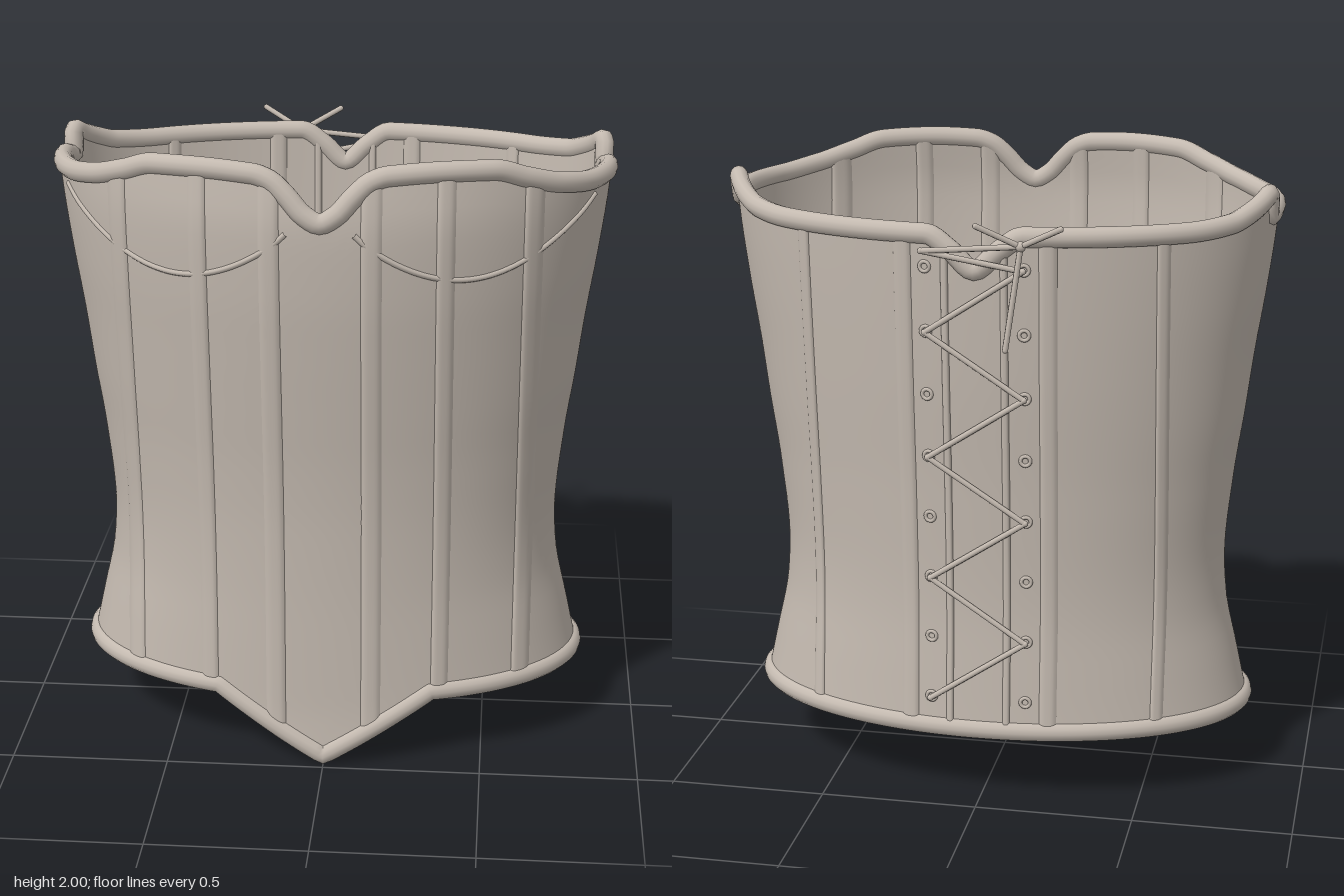
import * as THREE from 'three';

const rad = THREE.MathUtils.degToRad;

// Monotone cubic through [x, y] points
function smoothTable(p) {
  const d = p.slice(1).map((q, i) => (q[1] - p[i][1]) / (q[0] - p[i][0]));
  const m = p.map((_, i) => {
    if (i === 0 || i === p.length - 1) return 0;
    return d[i - 1] * d[i] <= 0 ? 0 : 2 * d[i - 1] * d[i] / (d[i - 1] + d[i]);
  });
  return x => {
    let i = 0;
    while (i < p.length - 2 && x > p[i + 1][0]) i++;
    const h = p[i + 1][0] - p[i][0];
    const s = THREE.MathUtils.clamp((x - p[i][0]) / h, 0, 1);
    const s2 = s * s, s3 = s2 * s;
    return p[i][1] * (2 * s3 - 3 * s2 + 1) + p[i + 1][1] * (3 * s2 - 2 * s3)
      + h * (m[i] * (s3 - 2 * s2 + s) + m[i + 1] * (s3 - s2));
  };
}

// Body profile by height: half width, front depth, back depth
const halfWidth = smoothTable([[0, 0.86], [0.2, 0.815], [0.4, 0.77], [0.6, 0.728], [0.73, 0.72], [1, 0.742],
  [1.2, 0.77], [1.4, 0.795], [1.6, 0.825], [1.8, 0.85], [2, 0.865]]);
const frontDepth = smoothTable([[0, 0.482], [0.2, 0.473], [0.5, 0.474], [0.8, 0.482], [1, 0.496],
  [1.2, 0.518], [1.4, 0.541], [1.6, 0.561], [1.8, 0.57], [2, 0.55]]);
const backDepth = smoothTable([[0, 0.48], [0.2, 0.46], [0.4, 0.448], [0.65, 0.438], [1, 0.45],
  [1.4, 0.476], [1.8, 0.494], [2, 0.5]]);

// Upper edge by angle from the front, in degrees
const topTable = smoothTable([[0, 1.82], [3.3, 1.845], [6.7, 1.9], [10, 1.942], [13.4, 1.958], [24, 1.965],
  [35.5, 1.96], [44, 1.928], [54.5, 1.895], [68, 1.875], [90, 1.868], [97, 1.852], [99, 1.85],
  [101.5, 1.922], [107, 1.9], [113.6, 1.875], [120, 1.855], [134, 1.842], [160, 1.84], [170, 1.84],
  [175, 1.795], [180, 1.735]]);
const topEdge = t => topTable(Math.abs(THREE.MathUtils.radToDeg(Math.atan2(Math.sin(t), Math.cos(t)))));
const bottomEdge = t => Math.cos(t) > 0 ? Math.min(0.25, 0.034 + Math.abs(Math.sin(t)) * 0.51) : 0.25;

// Point on the body at angle t and height y, pushed out by off
function surface(t, y, off = 0) {
  const c = Math.cos(t);
  const depth = c > 0 ? frontDepth(y) : backDepth(y);
  return new THREE.Vector3(Math.sin(t) * (halfWidth(y) + off), y, c * (depth + off));
}

// Point at a given x on the front (side = 1) or back (side = -1)
function atX(x, y, side, off = 0) {
  const t = Math.asin(THREE.MathUtils.clamp(x / (halfWidth(y) + off), -1, 1));
  return surface(side > 0 ? t : Math.PI - t, y, off);
}

// Grid of points fn(i, j); either direction may be closed
function grid(nu, nv, fn, closeU = false, closeV = false) {
  const pos = [], idx = [];
  for (let i = 0; i < nu; i++) for (let j = 0; j < nv; j++) pos.push(...fn(i, j).toArray());
  for (let i = 0; i < (closeU ? nu : nu - 1); i++) {
    for (let j = 0; j < (closeV ? nv : nv - 1); j++) {
      const i2 = (i + 1) % nu, j2 = (j + 1) % nv;
      const a = i * nv + j, b = i2 * nv + j, c = i2 * nv + j2, d = i * nv + j2;
      idx.push(a, b, c, a, c, d);
    }
  }
  const g = new THREE.BufferGeometry();
  g.setAttribute('position', new THREE.Float32BufferAttribute(pos, 3));
  g.setIndex(idx);
  g.computeVertexNormals();
  return g;
}

export function createModel() {
  const model = new THREE.Group();
  const fabric = new THREE.MeshStandardMaterial({ color: 0xc4bab0, side: THREE.DoubleSide });
  fabric.name = 'taupe fabric';
  const add = (name, geometry) => {
    const mesh = new THREE.Mesh(geometry, fabric);
    mesh.name = name;
    model.add(mesh);
    return mesh;
  };
  const N = 360, ROWS = 36, THICK = 0.03;

  // Outer shell and lining
  const wall = off => grid(N, ROWS, (i, j) => {
    const t = i / N * Math.PI * 2;
    return surface(t, THREE.MathUtils.lerp(bottomEdge(t), topEdge(t), j / (ROWS - 1)), off);
  }, true);
  add('outerShell', wall(0));
  add('lining', wall(-THICK));

  // Rounded bindings swept along both edges
  const binding = edge => {
    const at = i => { const t = i / N * Math.PI * 2; return surface(t, edge(t), -0.011); };
    return grid(N, 12, (i, j) => {
      const p = at(i), t = i / N * Math.PI * 2, k = j / 12 * Math.PI * 2;
      const along = at(i + 1).sub(at(i - 1)).normalize();
      const depth = Math.cos(t) > 0 ? frontDepth(p.y) : backDepth(p.y);
      const out = new THREE.Vector3(Math.sin(t) * depth, 0, Math.cos(t) * halfWidth(p.y)).normalize();
      const up = new THREE.Vector3().crossVectors(out, along).normalize();
      return p.addScaledVector(out, Math.cos(k) * 0.029).addScaledVector(up, Math.sin(k) * 0.032);
    }, true, true);
  };
  add('topBinding', binding(topEdge));
  add('bottomBinding', binding(bottomEdge));

  // Boning channels: [x, half width, front or back]
  const channels = [[0.15, 0.032, 1], [0.365, 0.028, 1], [0.62, 0.03, 1],
    [0.09, 0.012, -1], [0.22, 0.028, -1], [0.55, 0.02, -1]];
  for (const [x0, w, side] of channels) for (const m of [1, -1]) for (const inside of [false, true]) {
    const geo = grid(ROWS, 9, (i, j) => {
      const s = j / 4 - 1, x = m * x0 + s * w;
      const edgeAngle = a => (side > 0 ? Math.asin(x / a) : Math.PI - Math.asin(x / a));
      const y = THREE.MathUtils.lerp(bottomEdge(edgeAngle(0.815)), topEdge(edgeAngle(0.86)), i / (ROWS - 1));
      const lift = 0.009 * (1 - s ** 4) - 0.001;
      return atX(x, y, side, inside ? -THICK - lift : lift);
    });
    add(inside ? 'innerChannel' : 'boningChannel', geo);
  }

  // Curved seams under the cups
  for (const m of [1, -1]) {
    const pts = [];
    for (let i = 0; i <= 20; i++) {
      const s = i / 20;
      const y = 1.83 - 0.04 * s - 0.17 * Math.sin(Math.PI * s) ** 0.85;
      pts.push(atX(m * (0.8 - 0.7 * s), y, 1, -0.001));
    }
    add('cupSeam', new THREE.TubeGeometry(new THREE.CatmullRomCurve3(pts), 60, 0.009, 8));
  }

  // Eyelets in two columns on the back
  const EYE_X = 0.15;
  const eyeY = level => 0.35 + level * 0.199;
  for (let level = 0; level < 8; level++) for (const m of [1, -1]) {
    const eyelet = add('eyelet', new THREE.TorusGeometry(0.015, 0.006, 8, 16));
    const p = atX(m * EYE_X, eyeY(level), -1, 0.003);
    eyelet.position.copy(p);
    eyelet.rotation.y = -m * rad(6);
  }

  // Zigzag lace, the cross tie at the top and the loose ends of the knot
  const cord = (name, a, b, r = 0.009) => add(name, new THREE.TubeGeometry(new THREE.LineCurve3(a, b), 1, r, 8));
  const lace = [];
  for (let level = 0; level < 8; level++) {
    lace.push(atX(level % 2 ? -EYE_X : EYE_X, eyeY(level), -1, 0.02));
  }
  const knot = new THREE.Vector3(-0.15, 1.825, -0.54);
  lace.push(new THREE.Vector3(0.15, 1.8, -0.535), knot);
  lace.forEach((p, i) => {
    if (i) cord('lace', lace[i - 1], p);
    add('laceBend', new THREE.SphereGeometry(i === lace.length - 1 ? 0.016 : 0.01, 10, 8)).position.copy(p);
  });
  for (const end of [[-0.275, 1.89, -0.585], [-0.025, 1.89, -0.585], [-0.11, 1.52, -0.57]]) {
    cord('laceEnd', knot, new THREE.Vector3(...end));
    add('laceTip', new THREE.SphereGeometry(0.009, 8, 6)).position.set(...end);
  }
  return model;
}
